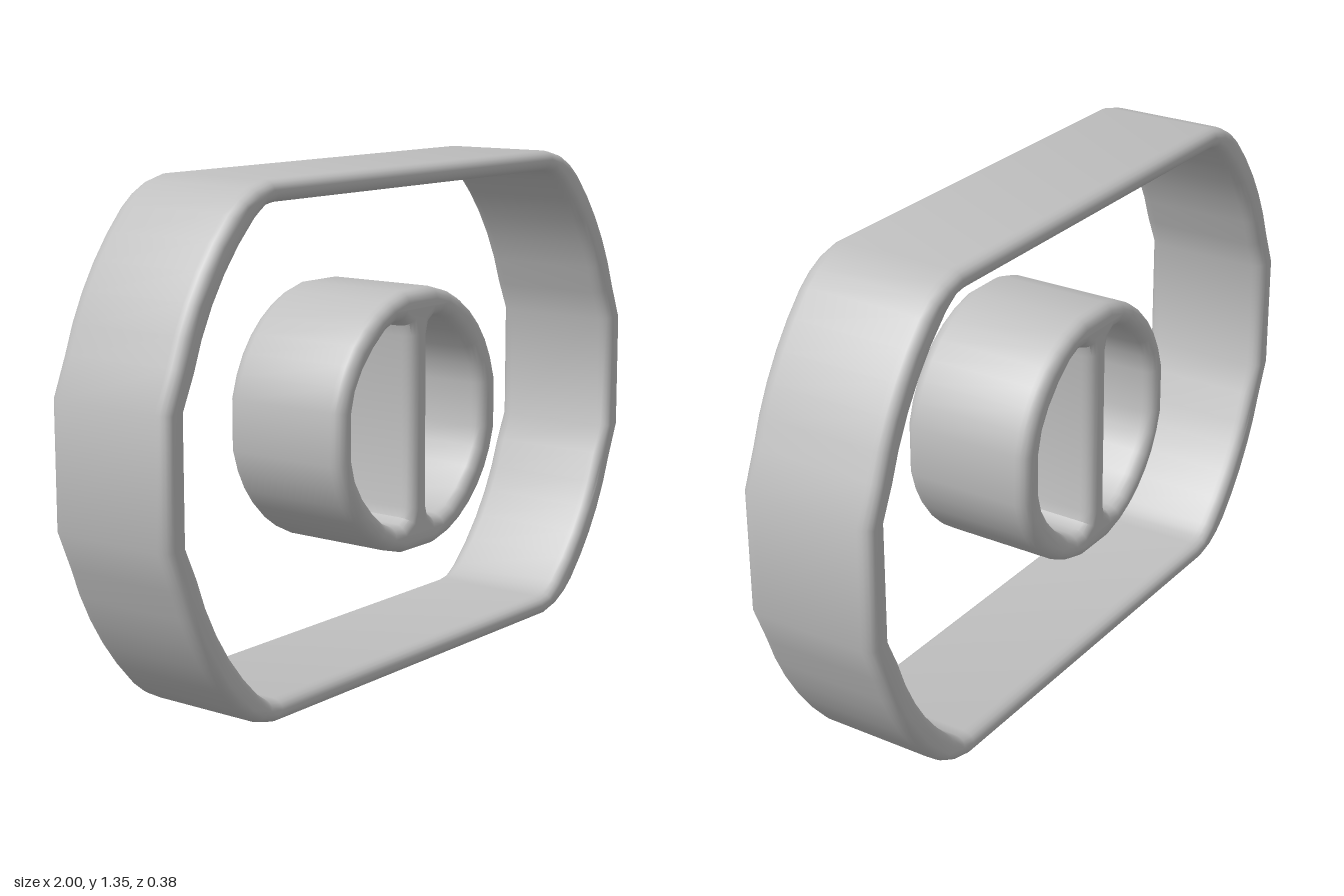
import * as THREE from 'three';
import { toCreasedNormals } from 'three/addons/utils/BufferGeometryUtils.js';

const CENTER_Y = 0.678;
const DEPTH = 0.38;

// Closed outline from the corner points of one quadrant, mirrored both ways
function mirrorQuadrant(q) {
  const flip = (sx, sy) => q.map(([x, y]) => new THREE.Vector2(x * sx, y * sy));
  return [
    ...flip(1, 1), ...flip(-1, 1).reverse(),
    ...flip(-1, -1), ...flip(1, -1).reverse(),
  ];
}

// Points on an arc about (cx, 0)
function arc(cx, r, from, to, steps) {
  return Array.from({ length: steps + 1 }, (_, i) => {
    const a = from + (to - from) * i / steps;
    return [cx + r * Math.cos(a), r * Math.sin(a)];
  });
}

// Band with rounded front and back rims
function band(name, outline, holes, round, material) {
  const shape = new THREE.Shape(outline);
  shape.holes = holes.map((h) => new THREE.Path(h));
  const lip = 0.035;
  const geometry = new THREE.ExtrudeGeometry(shape, {
    depth: DEPTH - 2 * lip, steps: 1, bevelEnabled: true,
    bevelThickness: lip, bevelSize: round, bevelOffset: -round, bevelSegments: 4,
  });
  geometry.translate(0, 0, lip - DEPTH / 2);
  const mesh = new THREE.Mesh(toCreasedNormals(geometry, 0.6), material);
  mesh.name = name;
  return mesh;
}

export function createModel() {
  const group = new THREE.Group();
  group.name = 'framedRing';
  const grey = new THREE.MeshStandardMaterial({ color: 0xbfbfbf });
  grey.name = 'plain grey';

  // Outer frame: flat top and bottom, bowed sides
  const frameOuter = mirrorQuadrant([
    [1, 0.165], ...arc(0.13, 0.87, 0.31, 0.77, 5),
    [0.715, 0.638], [0.67, 0.662], [0.61, 0.677],
  ]);
  const frameInner = mirrorQuadrant([
    [0.925, 0.16], ...arc(0.13, 0.795, 0.31, 0.83, 5),
    [0.645, 0.602], [0.625, 0.615], [0.59, 0.621],
  ]);
  const frame = band('outerFrame', frameOuter, [frameInner], 0.024, grey);

  // Central ring with two rounded D openings, leaving an upright divider
  const ringOuter = mirrorQuadrant([
    [0.352, 0.07], ...arc(0, 0.358, 0.38, 1.19, 5), [0.065, 0.351],
  ]);
  const opening = (side) => {
    const quarter = [
      [0.28, 0.06], [0.265, 0.115], [0.235, 0.165], [0.19, 0.215], [0.14, 0.255],
      [0.1, 0.272], [0.07, 0.272], [0.048, 0.258], [0.04, 0.23],
    ];
    const points = [...quarter, ...quarter.map(([x, y]) => [x, -y]).reverse()];
    return points.map(([x, y]) => new THREE.Vector2(x * side - 0.008, y));
  };
  const ring = band('dividedRing', ringOuter, [opening(1), opening(-1)], 0.03, grey);
  ring.position.x = -0.006;

  for (const part of [frame, ring]) {
    part.position.y = CENTER_Y;
    group.add(part);
  }
  return group;
}
